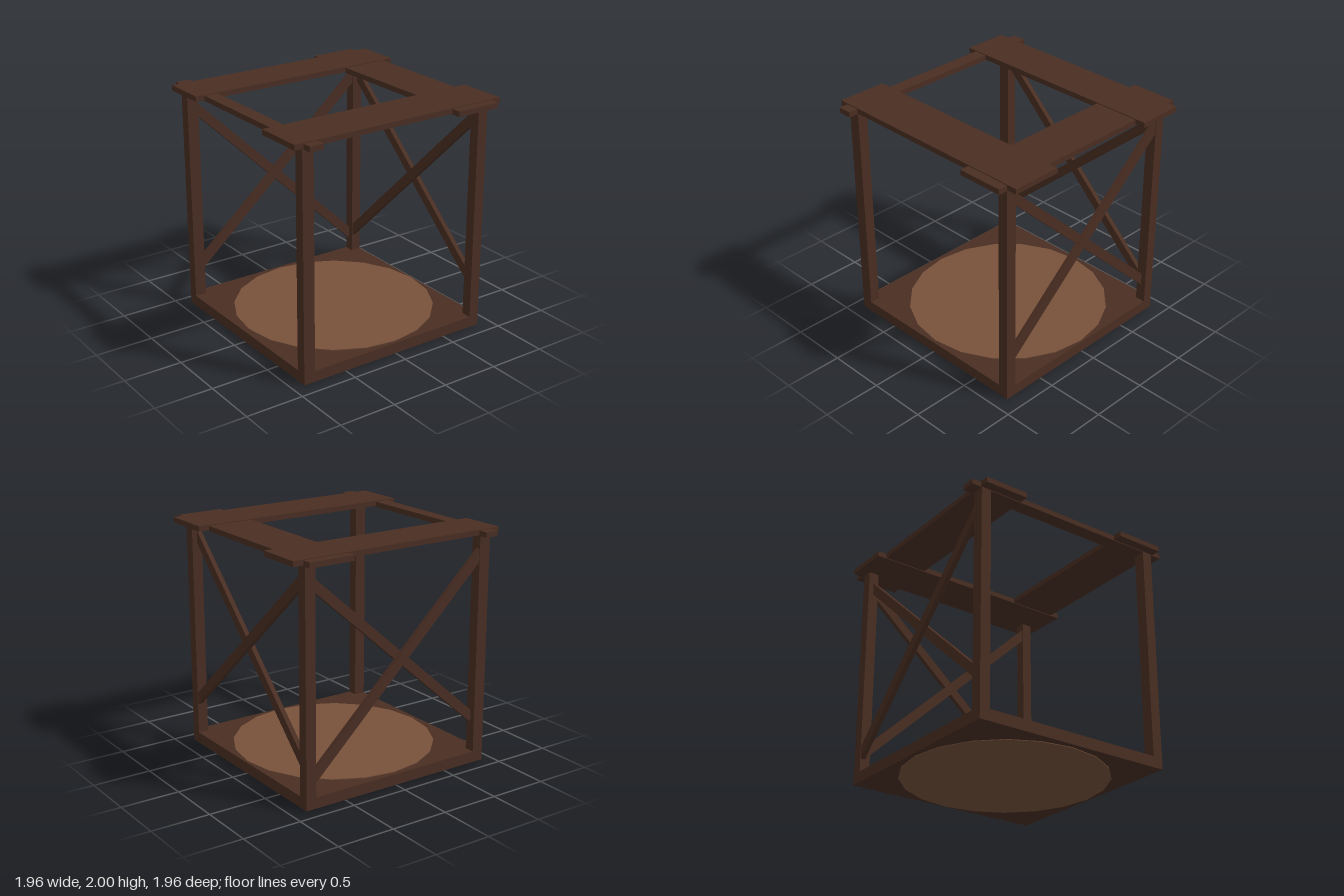
import * as THREE from 'three';

const darkWood = new THREE.MeshStandardMaterial({ color: 0x4a2e22, flatShading: true });
const lightWood = new THREE.MeshStandardMaterial({ color: 0x78523c, flatShading: true });

export function createModel() {
  const group = new THREE.Group();

  // Box given by its extents on each axis
  const slab = (name, [x0, x1], [y0, y1], [z0, z1]) => {
    const mesh = new THREE.Mesh(new THREE.BoxGeometry(x1 - x0, y1 - y0, z1 - z0), darkWood);
    mesh.position.set((x0 + x1) / 2, (y0 + y1) / 2, (z0 + z1) / 2);
    mesh.name = name;
    group.add(mesh);
  };

  // Square floor with a round panel let into it
  slab('floorBase', [-0.9, 0.87], [0.005, 0.1], [-0.89, 0.88]);
  const panel = new THREE.Mesh(new THREE.CylinderGeometry(0.855, 0.855, 0.107, 20), lightWood);
  panel.rotation.y = Math.PI / 2;
  panel.position.y = 0.0535;
  panel.name = 'roundFloorPanel';
  group.add(panel);

  // Corner posts
  const xs = { right: [-0.9, -0.8], left: [0.78, 0.87] };
  const zs = { front: [0.79, 0.88], back: [-0.89, -0.8] };
  for (const [side, x] of Object.entries(xs))
    for (const [end, z] of Object.entries(zs))
      slab(`${end}${side === 'left' ? 'Left' : 'Right'}Post`, x, [0.1, 1.955], z);

  // Top planks: two crosswise, lying over two lengthwise
  slab('frontTopPlank', [-0.98, 0.98], [1.955, 2], [0.47, 0.9]);
  slab('backTopPlank', [-0.98, 0.98], [1.955, 2], [-0.9, -0.51]);
  slab('narrowTopPlank', [-0.9, -0.78], [1.948, 1.993], [-0.98, 0.98]);
  slab('wideTopPlank', [0.49, 0.89], [1.948, 1.993], [-0.98, 0.98]);

  // Diagonal brace in the XY plane, running a little way into the posts
  const brace = (name, parent, x0, y0, x1, y1, z) => {
    const dx = x1 - x0, dy = y1 - y0;
    const inset = 0.07 * Math.hypot(dx, dy) / Math.abs(dx);
    const mesh = new THREE.Mesh(
      new THREE.BoxGeometry(Math.hypot(dx, dy) + inset, 0.08, 0.04), darkWood);
    mesh.position.set((x0 + x1) / 2, (y0 + y1) / 2, z);
    mesh.rotation.z = Math.atan2(dy, dx);
    mesh.name = name;
    parent.add(mesh);
  };

  // Crossed braces on the back
  const back = new THREE.Group();
  back.name = 'backBraces';
  brace('fallingBrace', back, -0.8, 1.785, 0.78, 0.27, -0.865);
  brace('risingBrace', back, -0.8, 0.405, 0.78, 1.795, -0.825);
  group.add(back);

  // Crossed braces on the left side, turned so local x runs towards -z
  const side = new THREE.Group();
  side.name = 'sideBraces';
  side.rotation.y = Math.PI / 2;
  brace('fallingBrace', side, -0.79, 1.83, 0.8, 0.315, 0.805);
  brace('risingBrace', side, -0.79, 0.415, 0.8, 1.8, 0.845);
  group.add(side);

  return group;
}
